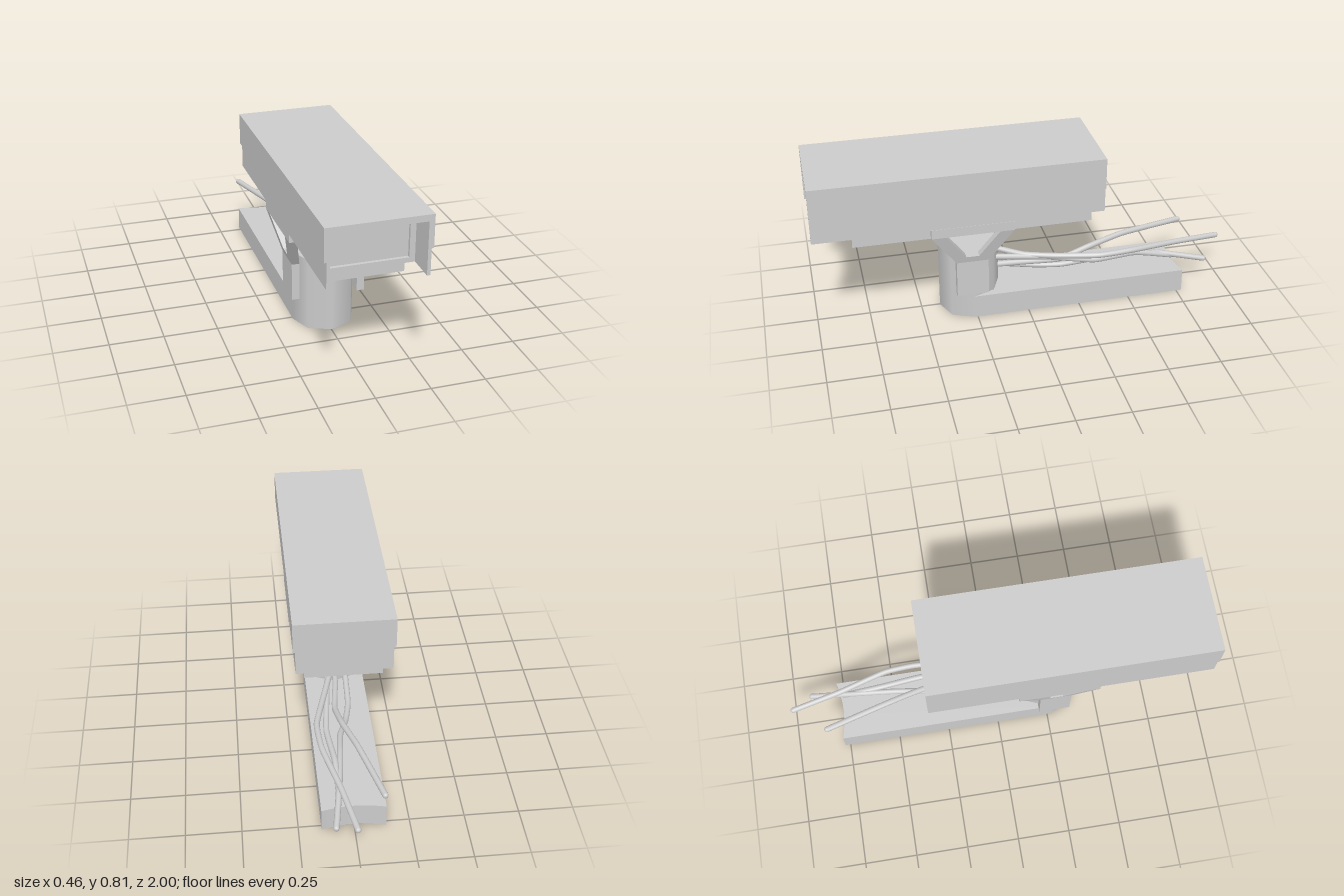
import * as THREE from 'three';

const material = new THREE.MeshStandardMaterial({ color: 0xcccccc });

function add(parent, name, geometry, x = 0, y = 0, z = 0) {
  const mesh = new THREE.Mesh(geometry, material);
  mesh.name = name;
  mesh.position.set(x, y, z);
  parent.add(mesh);
  return mesh;
}

const shapeOf = (points) => new THREE.Shape(points.map(([x, y]) => new THREE.Vector2(x, y)));
const extrude = (shape, depth) => new THREE.ExtrudeGeometry(shape, { depth, bevelEnabled: false });

// Bracket offset from the column side: straight, leaning outward, then straight again
const lean = (y) => 0.138 + 0.045 * THREE.MathUtils.clamp((y - 0.33) / 0.17, 0, 1);

// One bracket piece, drawn in the side plane as [z, y] corners
function bracketPiece(corners) {
  const geometry = extrude(shapeOf(corners.map(([z, y]) => [-z, y])), 0.036);
  geometry.rotateY(Math.PI / 2);
  const p = geometry.attributes.position;
  for (let i = 0; i < p.count; i++) {
    p.setX(i, p.getX(i) + lean(p.getY(i)));
    p.setZ(i, p.getZ(i));
  }
  geometry.computeVertexNormals();
  return geometry;
}

export function createModel() {
  const model = new THREE.Group();
  model.name = 'wallCamera';

  // Housing: open-bottomed hood wrapped round a recessed body
  const housing = new THREE.Group();
  housing.name = 'housing';
  model.add(housing);
  const half = [[0.205, 0.785], [0.205, 0.545], [0.22, 0.545], [0.22, 0.665], [0.23, 0.665], [0.23, 0.815]];
  const mirrored = half.map(([x, y]) => [-x, y]).reverse();
  add(housing, 'hood', extrude(shapeOf([...half, ...mirrored]), 1.34), 0, 0, -0.34);
  add(housing, 'body', new THREE.BoxGeometry(0.41, 0.24, 1.195), 0, 0.665, 0.2575);

  const frame = shapeOf([[-0.205, 0.545], [0.205, 0.545], [0.205, 0.785], [-0.205, 0.785]]);
  frame.holes.push(shapeOf([[-0.18, 0.568], [-0.18, 0.764], [0.18, 0.764], [0.18, 0.568]]));
  add(housing, 'windowFrame', extrude(frame, 0.015), 0, 0, 0.855);
  add(housing, 'tray', new THREE.BoxGeometry(0.36, 0.065, 1.11), 0, 0.5125, 0.265);

  // Mount: faceted round column with a long foot hollowed at its end
  const mount = new THREE.Group();
  mount.name = 'mount';
  mount.position.x = 0.0025;
  model.add(mount);
  add(mount, 'column', new THREE.CylinderGeometry(0.145, 0.145, 0.35, 8), 0, 0.175, 0.265);
  const foot = new THREE.Shape();
  foot.moveTo(-0.145, -0.265);
  foot.lineTo(0.145, -0.265);
  foot.lineTo(0.145, 0.775);
  foot.quadraticCurveTo(0, 0.735, -0.145, 0.775);
  foot.closePath();
  const footGeometry = extrude(foot, 0.115);
  footGeometry.rotateX(-Math.PI / 2);
  add(mount, 'foot', footGeometry);

  // Y-shaped brackets, one on each side
  const pieces = {
    bracketPlate: [[0.35, 0.15], [0.2, 0.15], [0.2, 0.33], [0.35, 0.33]],
    bracketCrotch: [[0.35, 0.33], [0.2, 0.33], [0.245, 0.362], [0.305, 0.362]],
    bracketFrontLeg: [[0.35, 0.33], [0.305, 0.362], [0.4, 0.5], [0.467, 0.5]],
    bracketBackLeg: [[0.2, 0.33], [0.085, 0.5], [0.152, 0.5], [0.245, 0.362]],
    bracketBar: [[0.467, 0.5], [0.085, 0.5], [0.085, 0.545], [0.467, 0.545]],
  };
  for (const side of [0, 1]) {
    const bracket = new THREE.Group();
    bracket.name = side ? 'rightBracket' : 'leftBracket';
    for (const [name, corners] of Object.entries(pieces)) {
      // The shape is symmetric enough only across x, so mirror by scale
      add(bracket, name, bracketPiece(corners));
    }
    bracket.scale.x = side ? -1 : 1;
    mount.add(bracket);
  }

  // Loose cables trailing from the back of the column
  const cables = new THREE.Group();
  cables.name = 'cables';
  model.add(cables);
  const paths = [
    [[0.01, 0.29, 0.14], [0.04, 0.25, 0], [0.08, 0.245, -0.15], [0.13, 0.25, -0.35], [0.12, 0.25, -0.52], [0.06, 0.23, -0.75], [0.01, 0.21, -0.99]],
    [[-0.05, 0.17, 0.15], [-0.045, 0.13, -0.07], [-0.02, 0.13, -0.2], [0.02, 0.165, -0.34], [0.035, 0.185, -0.48], [0.055, 0.18, -0.66], [0.093, 0.135, -0.9]],
    [[0, 0.19, 0.15], [0.01, 0.19, 0], [0.03, 0.195, -0.18], [0.01, 0.235, -0.34], [-0.04, 0.255, -0.52], [-0.125, 0.247, -0.835]],
    [[0.03, 0.255, 0.17], [0.06, 0.235, -0.1], [0.085, 0.2, -0.34], [0.065, 0.2, -0.55], [0.065, 0.16, -0.74]],
  ];
  for (const path of paths) {
    const points = path.map((p) => new THREE.Vector3(...p));
    const curve = new THREE.CatmullRomCurve3(points, false, 'catmullrom', 0.25);
    add(cables, 'cable', new THREE.TubeGeometry(curve, 48, 0.014, 10));
    for (const end of [points[0], points[points.length - 1]]) {
      add(cables, 'cableEnd', new THREE.SphereGeometry(0.014, 10, 8), end.x, end.y, end.z);
    }
  }
  return model;
}
